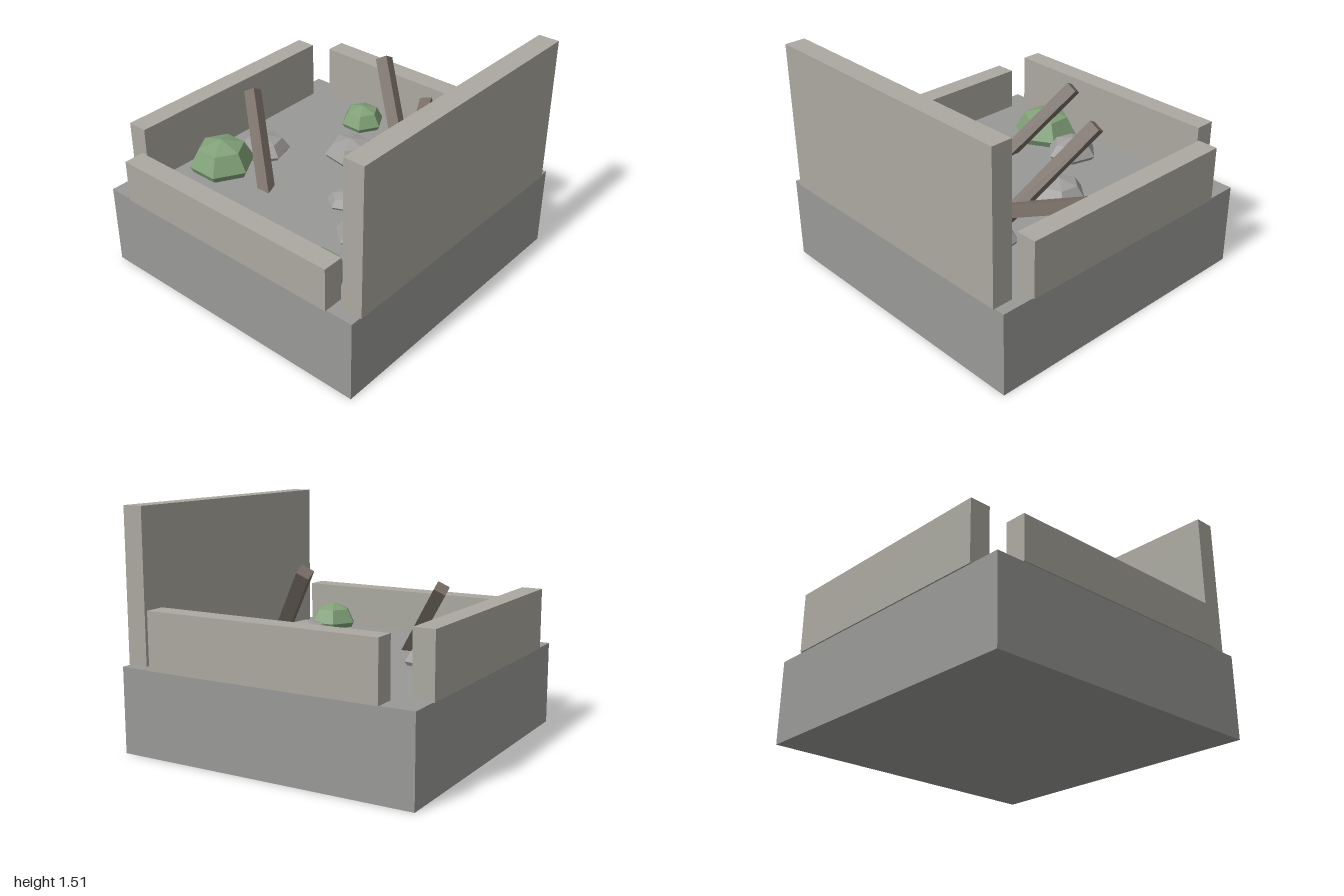
import * as THREE from 'three';

const FLOOR = 0.545;
const paint = (color) => new THREE.MeshStandardMaterial({ color, flatShading: true });
const slab = paint(0x999997);
const plaster = paint(0xaba9a0);
const stone = paint(0xa09f9d);
const leaf = paint(0x81a178);
const wood = paint(0x776d65);

function addMesh(parent, name, geometry, material) {
  const mesh = new THREE.Mesh(geometry, material);
  mesh.name = name;
  parent.add(mesh);
  return mesh;
}

// Axis-aligned block given by its limits
function addBlock(parent, name, material, [x0, x1], [y0, y1], [z0, z1]) {
  const block = addMesh(parent, name, new THREE.BoxGeometry(x1 - x0, y1 - y0, z1 - z0), material);
  block.position.set((x0 + x1) / 2, (y0 + y1) / 2, (z0 + z1) / 2);
}

// Squashed six-sided lump, partly sunk into the floor
function addLump(parent, name, material, [x, z, radius, turn = 0], squash, lift) {
  const lump = addMesh(parent, name, new THREE.SphereGeometry(radius, 6, 4), material);
  lump.scale.y = squash;
  lump.rotation.y = turn;
  lump.position.set(x, FLOOR + lift * radius, z);
}

// Square timber leaning from its raised end down into the floor, rolled a little about its length
function addBeam(parent, name, top, foot) {
  const a = new THREE.Vector3(...top);
  const b = new THREE.Vector3(...foot);
  const direction = a.clone().sub(b).normalize();
  b.addScaledVector(direction, -0.15);
  const beam = addMesh(parent, name, new THREE.BoxGeometry(0.08, a.distanceTo(b), 0.08), wood);
  beam.position.copy(a).add(b).multiplyScalar(0.5);
  beam.quaternion.setFromUnitVectors(new THREE.Vector3(0, 1, 0), direction);
  beam.rotateY(0.2);
}

export function createModel() {
  const model = new THREE.Group();
  model.name = 'ruinedRoom';

  // Foundation slab
  addBlock(model, 'foundation', slab, [-0.99, 0.99], [0, FLOOR], [-0.99, 0.99]);

  // Broken walls of differing heights, open at the corners
  const walls = new THREE.Group();
  walls.name = 'walls';
  model.add(walls);
  addBlock(walls, 'leftWall', plaster, [0.865, 1], [FLOOR, 1.515], [-0.92, 0.92]);
  addBlock(walls, 'rightWall', plaster, [-1, -0.865], [FLOOR, 0.94], [-0.79, 0.79]);
  addBlock(walls, 'backWall', plaster, [-0.775, 0.775], [FLOOR, 0.91], [-1, -0.865]);
  addBlock(walls, 'frontWall', plaster, [-0.81, 0.81], [FLOOR, 0.83], [0.865, 1]);

  // Rubble: x, z, radius, turn
  const rubble = new THREE.Group();
  rubble.name = 'rubble';
  model.add(rubble);
  [
    [0.565, -0.4, 0.18, 0.08],
    [-0.11, -0.315, 0.174, -0.15],
    [-0.58, 0.025, 0.17, -0.25],
    [0.525, 0.345, 0.162, 0.33],
    [0.225, 0.145, 0.111, 0.43],
  ].forEach((r, i) => addLump(rubble, `rock${i + 1}`, stone, r, 0.6, 0.15));

  // Bushes: x, z, radius
  const bushes = new THREE.Group();
  bushes.name = 'bushes';
  model.add(bushes);
  [
    [-0.65, 0.35, 0.217],
    [-0.312, -0.685, 0.15],
    [0.45, -0.16, 0.153],
    [0.59, 0.805, 0.17],
  ].forEach((b, i) => addLump(bushes, `bush${i + 1}`, leaf, b, 0.78, 0.2));

  // Fallen beams
  const beams = new THREE.Group();
  beams.name = 'beams';
  model.add(beams);
  addBeam(beams, 'beam1', [-0.625, 1.01, 0.07], [-0.27, FLOOR, 0.335]);
  addBeam(beams, 'beam2', [-0.09, 1.155, -0.625], [0.37, FLOOR, -0.3]);
  addBeam(beams, 'beam3', [0.12, 0.81, -0.845], [0.51, FLOOR, -0.04]);

  return model;
}
